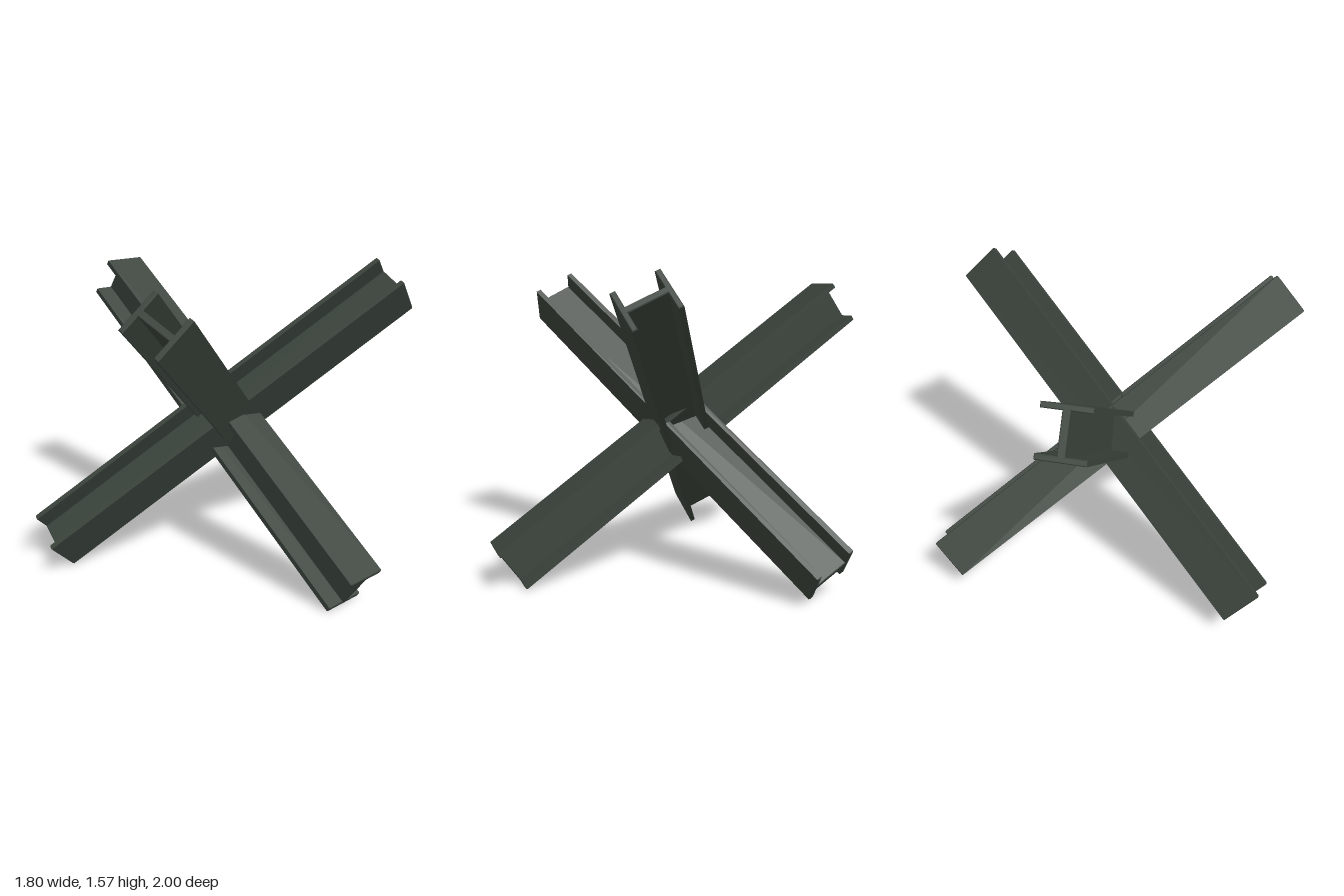
import * as THREE from 'three';

const WIDTH = 0.225, DEPTH = 0.242, FLANGE = 0.027, WEB = 0.034, LENGTH = 2.28, BEVEL = 0.004;

// I-shaped cross-section: flanges across x, web along y
function beamGeometry() {
  const w = WIDTH / 2, h = DEPTH / 2, f = h - FLANGE, t = WEB / 2;
  const quarter = [[t, f], [w, f], [w, h]];
  const right = [...quarter.map(([x, y]) => [x, -y]).reverse(), ...quarter];
  const left = right.map(([x, y]) => [-x, y]).reverse();
  const shape = new THREE.Shape([...right, ...left].map(([x, y]) => new THREE.Vector2(x, y)));
  const geometry = new THREE.ExtrudeGeometry(shape, {
    depth: LENGTH - 2 * BEVEL,
    bevelEnabled: true,
    bevelThickness: BEVEL,
    bevelSize: BEVEL,
    bevelOffset: -BEVEL,
    bevelSegments: 1,
  });
  return geometry.translate(0, 0, -LENGTH / 2 + BEVEL);
}

export function createModel() {
  const group = new THREE.Group();
  group.name = 'crossedBeamObstacle';

  const steel = new THREE.MeshStandardMaterial({ color: 0x3a433b });
  steel.name = 'darkGreenSteel';
  const geometry = beamGeometry();

  // Beam along a direction, with its flanges spread along the across vector
  function addBeam(name, direction, across, y) {
    const d = new THREE.Vector3(...direction).normalize();
    const a = new THREE.Vector3(...across);
    a.addScaledVector(d, -a.dot(d)).normalize();
    const n = new THREE.Vector3().crossVectors(d, a);
    const mesh = new THREE.Mesh(geometry, steel);
    mesh.name = name;
    mesh.quaternion.setFromRotationMatrix(new THREE.Matrix4().makeBasis(a, n, d));
    mesh.position.y = y;
    group.add(mesh);
  }

  // Beam leaning from front to back
  addBeam('centreBeam', [0, -0.577, 0.816], [1, 0, 0], 0.757);

  // Mirrored pair of crossing beams
  for (const [name, s] of [['leftBeam', 1], ['rightBeam', -1]]) {
    addBeam(name, [s * 0.707, 0.577, 0.408], [s * 0.68, -0.7, -0.22], 0.785);
  }
  return group;
}
